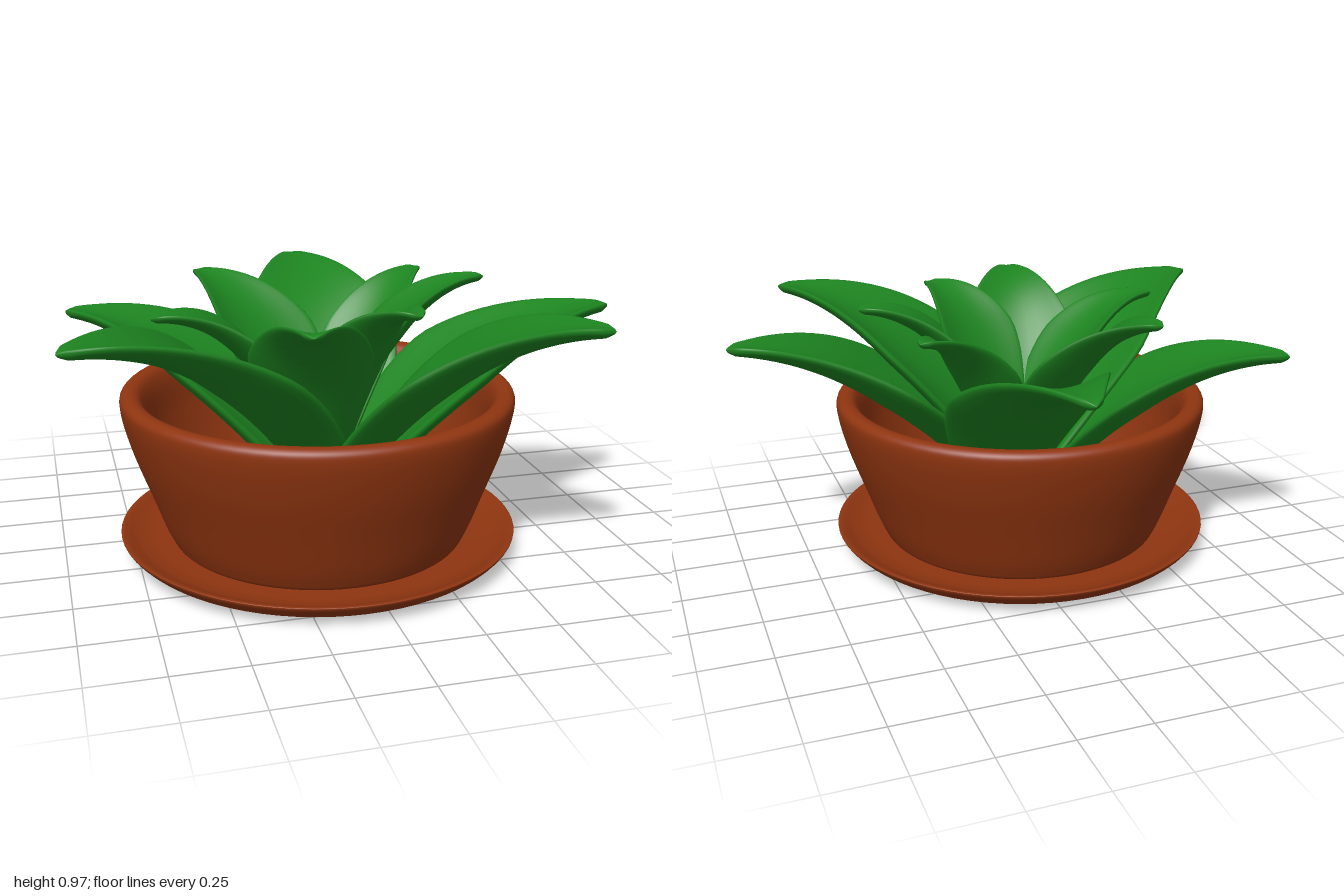
import * as THREE from 'three';

const CX = -0.085, CZ = 0.155; // pot axis
const clay = new THREE.MeshStandardMaterial({ color: 0x8f3510 });
const green = new THREE.MeshStandardMaterial({ color: 0x1d8420 });

// Turned part: a smooth curve through [radius, height] points, spun round the pot axis
function turned(name, points) {
  const curve = new THREE.CatmullRomCurve3(points.map(([r, y]) => new THREE.Vector3(r, y, 0)), false, 'centripetal');
  const profile = curve.getPoints(90).map(p => new THREE.Vector2(Math.max(p.x, 0), p.y));
  const mesh = new THREE.Mesh(new THREE.LatheGeometry(profile, 72), clay);
  mesh.name = name;
  mesh.position.set(CX, 0, CZ);
  return mesh;
}

// Leaf: cupped lens cross-sections swept along an arching midrib, pointed at the end
function leaf(name, base, tip, bend, halfWidth, thickness, cup) {
  const b = new THREE.Vector3(...base), e = new THREE.Vector3(...tip);
  const control = b.clone().lerp(e, bend[0]).setY(bend[1]);
  const midrib = new THREE.QuadraticBezierCurve3(b, control, e);
  const up = new THREE.Vector3(0, 1, 0);
  const rings = 32, sides = 28, pos = [], index = [];
  for (let i = 0; i <= rings; i++) {
    const t = 1 - Math.pow(1 - i / rings, 1.5);
    const p = midrib.getPoint(t), dir = midrib.getTangent(t);
    const side = dir.clone().cross(up).normalize();
    const normal = side.clone().cross(dir);
    const k = Math.max(0, (t - 0.45) / 0.55);
    const spread = t < 0.45 ? 0.4 + 0.6 * Math.sin(t / 0.45 * Math.PI / 2) : 1 - Math.pow(k, 1.25);
    const cap = Math.sqrt(Math.min(1, (1 - t) / 0.03)); // rounds off the tip
    const w = (halfWidth * spread + 0.02) * cap;
    const th = thickness * (1 - 0.4 * k) * cap;
    for (let j = 0; j < sides; j++) {
      const a = j / sides * Math.PI * 2, c = Math.cos(a), s = Math.sin(a);
      const v = Math.sign(s) * Math.pow(Math.abs(s), 0.7) * th + cup * w * (c * c - 0.4);
      const q = p.clone().addScaledVector(side, c * w).addScaledVector(normal, v);
      pos.push(q.x, q.y, q.z);
      if (i < rings) {
        const n = (j + 1) % sides, r0 = i * sides, r1 = r0 + sides;
        index.push(r0 + j, r1 + j, r0 + n, r1 + j, r1 + n, r0 + n);
      }
    }
  }
  // close the hidden lower end
  for (let j = 1; j < sides - 1; j++) index.push(0, j, j + 1);
  const geo = new THREE.BufferGeometry();
  geo.setAttribute('position', new THREE.Float32BufferAttribute(pos, 3));
  geo.setIndex(index);
  geo.computeVertexNormals();
  const mesh = new THREE.Mesh(geo, green);
  mesh.name = name;
  return mesh;
}

export function createModel() {
  const model = new THREE.Group();
  model.name = 'pottedPlant';

  // Saucer with a flared lip
  model.add(turned('saucer', [
    [0, 0], [0.4, 0], [0.57, 0], [0.63, 0.008], [0.675, 0.03], [0.715, 0.07], [0.718, 0.08],
    [0.705, 0.08], [0.65, 0.055], [0.58, 0.04], [0.3, 0.04], [0, 0.04],
  ]));

  // Hollow bowl with a rounded rim
  model.add(turned('pot', [
    [0, 0.045], [0.3, 0.045], [0.52, 0.045], [0.545, 0.08], [0.61, 0.25], [0.67, 0.42], [0.7, 0.55],
    [0.697, 0.585], [0.675, 0.6], [0.64, 0.592], [0.615, 0.55], [0.59, 0.42], [0.54, 0.25],
    [0.49, 0.15], [0.44, 0.13], [0.2, 0.13], [0, 0.13],
  ]));

  // Outer rosette: base, tip, bend [fraction along, height], half width
  const outer = [
    [[0.03, 0.22, 0.06], [0.05, 0.875, -0.88], [0.38, 0.9], 0.27],
    [[0.0, 0.2, 0.22], [1.0, 0.84, 0.22], [0.44, 0.83], 0.30],
    [[-0.08, 0.2, 0.29], [0.71, 0.91, 0.84], [0.42, 0.92], 0.30],
    [[-0.05, 0.2, 0.16], [-1.0, 0.895, 0.62], [0.40, 0.92], 0.30],
    [[-0.12, 0.2, 0.08], [-0.93, 0.79, -0.385], [0.44, 0.82], 0.27],
  ];
  // Inner rosette
  const inner = [
    [[-0.1, 0.3, 0.15], [-0.44, 0.935, -0.33], [0.4, 0.92], 0.2],
    [[-0.02, 0.3, 0.1], [0.41, 0.925, -0.23], [0.35, 0.9], 0.14],
    [[-0.03, 0.35, 0.13], [0.53, 0.96, 0.16], [0.36, 0.96], 0.14],
    [[-0.04, 0.35, 0.2], [0.15, 0.935, 0.6], [0.35, 0.97], 0.16],
    [[-0.13, 0.3, 0.22], [-0.25, 0.935, 0.78], [0.38, 0.95], 0.19],
    [[-0.1, 0.3, 0.2], [-0.68, 0.9, 0.27], [0.38, 0.94], 0.15],
  ];
  for (const [base, tip, bend, w] of outer) model.add(leaf('outerLeaf', base, tip, bend, w, 0.03, 0.3));
  for (const [base, tip, bend, w] of inner) model.add(leaf('innerLeaf', base, tip, bend, w, 0.02, 0.35));
  return model;
}
